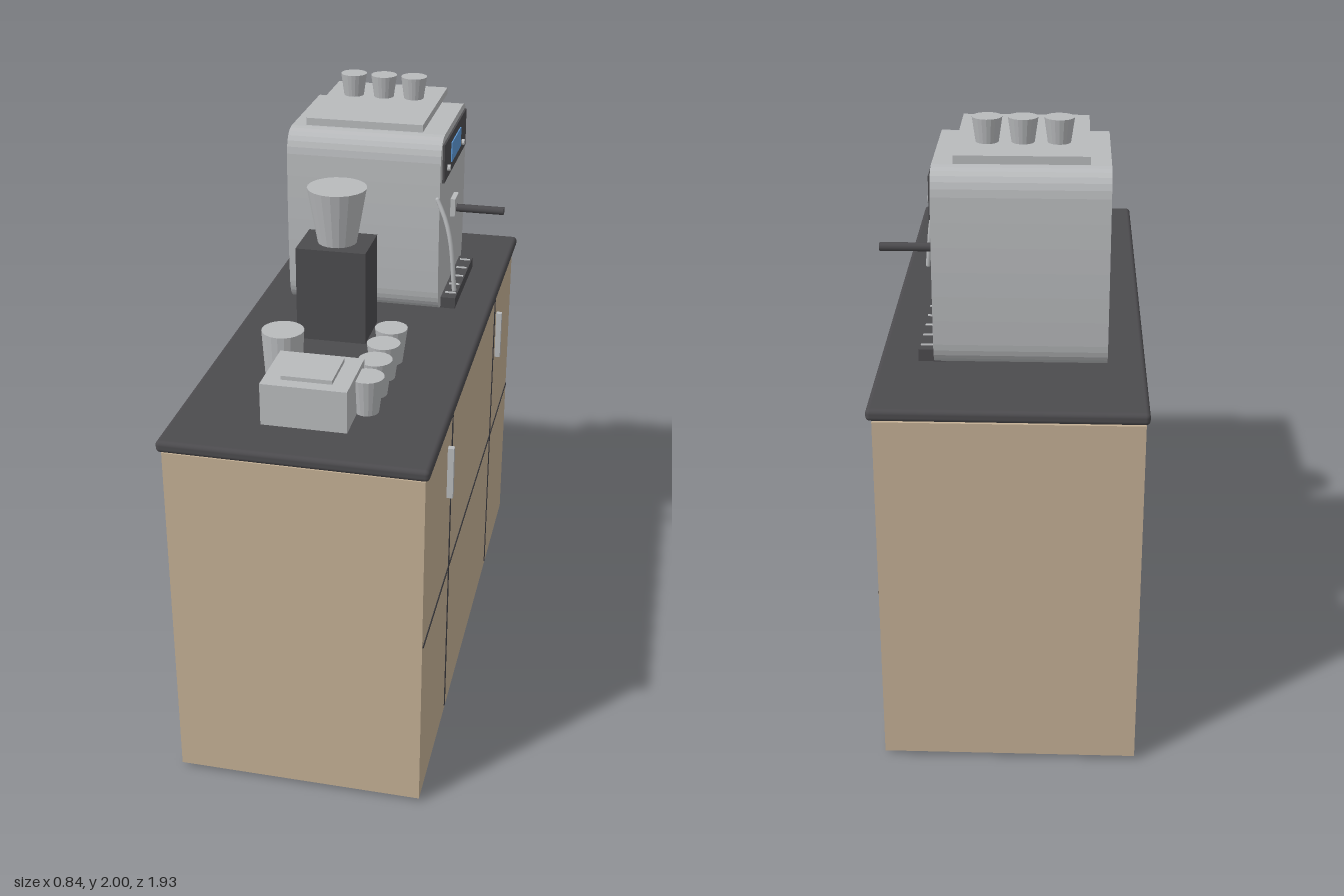
import * as THREE from 'three';
import { RoundedBoxGeometry } from 'three/addons/geometries/RoundedBoxGeometry.js';

function paint(name, hex) {
  const m = new THREE.MeshStandardMaterial({ color: hex });
  m.name = name;
  return m;
}

export function createModel() {
  const model = new THREE.Group();
  model.name = 'coffeeStation';
  const wood = paint('wood', 0xc3af94);
  const metal = paint('brushedMetal', 0xb8babc);
  const dark = paint('darkGrey', 0x4c4b4e);
  const black = paint('seamBlack', 0x36363a);
  const blue = paint('screenBlue', 0x5b96d2);

  function add(name, geometry, material, x = 0, y = 0, z = 0) {
    const mesh = new THREE.Mesh(geometry, material);
    mesh.name = name;
    mesh.position.set(x, y, z);
    model.add(mesh);
    return mesh;
  }
  // Box given by its extents on each axis
  function box(name, material, [x0, x1], [y0, y1], [z0, z1]) {
    return add(name, new THREE.BoxGeometry(x1 - x0, y1 - y0, z1 - z0), material,
      (x0 + x1) / 2, (y0 + y1) / 2, (z0 + z1) / 2);
  }
  // Faceted tapered vessel standing on y0
  function vessel(name, x, z, y0, y1, rBottom, rTop, sides = 20) {
    const g = new THREE.CylinderGeometry(rTop, rBottom, y1 - y0, sides).toNonIndexed();
    g.computeVertexNormals();
    return add(name, g, metal, x, (y0 + y1) / 2, z);
  }

  // Cabinet and worktop
  box('plinth', dark, [-0.39, 0.37], [0, 0.015], [-0.915, 0.915]);
  box('cabinet', wood, [-0.412, 0.393], [0.015, 1.2], [-0.94, 0.94]);
  box('worktopSupport', dark, [-0.36, 0.34], [1.2, 1.215], [-0.88, 0.88]);
  add('worktop', new RoundedBoxGeometry(0.83, 0.038, 1.93, 3, 0.014), dark, -0.007, 1.231, 0);

  // Door seams and handles on the front side
  box('horizontalSeam', black, [0.39, 0.396], [0.606, 0.613], [-0.93, 0.93]);
  for (const s of [-1, 1]) {
    const seamZ = s * 0.47;
    box('verticalSeam', black, [0.39, 0.396], [0.03, 1.18], [seamZ - 0.004, seamZ + 0.004]);
    const handleZ = s * 0.538;
    box('doorHandle', metal, [0.393, 0.413], [0.92, 1.1], [handleZ - 0.01, handleZ + 0.01]);
  }

  // Coffee machine body: rounded profile extruded across x (shape x = -z)
  const p = new THREE.Shape();
  p.moveTo(0.19, 1.257);
  p.lineTo(0.61, 1.257);
  p.quadraticCurveTo(0.655, 1.262, 0.66, 1.33);
  p.quadraticCurveTo(0.675, 1.57, 0.662, 1.80);
  p.quadraticCurveTo(0.655, 1.878, 0.59, 1.88);
  p.lineTo(0.21, 1.88);
  p.quadraticCurveTo(0.145, 1.878, 0.138, 1.80);
  p.quadraticCurveTo(0.128, 1.57, 0.14, 1.33);
  p.quadraticCurveTo(0.145, 1.262, 0.19, 1.257);
  const body = new THREE.ExtrudeGeometry(p, { depth: 0.535, bevelEnabled: false, curveSegments: 6 });
  body.rotateY(Math.PI / 2);
  add('machineBody', body, metal, -0.302, 0, 0);
  box('machineFoot', dark, [-0.27, 0.2], [1.249, 1.258], [-0.6, -0.2]);

  // Control panel, screen and buttons
  box('controlPanel', dark, [0.23, 0.24], [1.72, 1.855], [-0.628, -0.175]);
  box('screen', blue, [0.236, 0.244], [1.755, 1.825], [-0.495, -0.305]);
  for (const z of [-0.24, -0.54]) {
    const button = vessel('button', 0.244, z, 1.75, 1.762, 0.011, 0.011, 12);
    button.rotation.z = -Math.PI / 2;
  }

  // Brew head with filter handle
  box('brewHead', metal, [0.23, 0.25], [1.535, 1.6], [-0.44, -0.362]);
  const grip = add('filterHandle', new THREE.CylinderGeometry(0.014, 0.014, 0.18, 10), dark, 0.33, 1.555, -0.403);
  grip.rotation.z = Math.PI / 2;

  // Steam wand
  const wandPath = new THREE.CatmullRomCurve3([
    [0.23, 1.685, -0.108], [0.262, 1.62, -0.092], [0.284, 1.54, -0.079], [0.3, 1.375, -0.077],
  ].map(a => new THREE.Vector3(...a)));
  add('steamWand', new THREE.TubeGeometry(wandPath, 10, 0.008, 8), metal);
  for (const t of [0, 1]) add('wandTip', new THREE.SphereGeometry(0.008, 8, 6), metal, ...wandPath.getPoint(t).toArray());

  // Drip tray with slats
  box('dripTray', dark, [0.2, 0.285], [1.25, 1.29], [-0.605, -0.2]);
  for (let i = 0; i < 5; i++) {
    const z = -0.57 + i * 0.081;
    box('dripSlat', metal, [0.242, 0.28], [1.289, 1.293], [z - 0.005, z + 0.005]);
  }

  // Cup warmer shelf and cups on top
  box('warmerShelf', metal, [-0.238, 0.165], [1.898, 1.923], [-0.645, -0.163]);
  for (const x of [-0.18, 0.11]) for (const z of [-0.55, -0.25]) {
    box('shelfPost', metal, [x - 0.006, x + 0.006], [1.87, 1.9], [z - 0.006, z + 0.006]);
  }
  for (const x of [-0.145, -0.036, 0.072]) vessel('espressoCup', x, -0.485, 1.923, 2, 0.035, 0.046);

  // Grinder
  box('grinderBase', dark, [-0.197, 0.04], [1.25, 1.575], [-0.025, 0.16]);
  vessel('grinderHopper', -0.077, 0.064, 1.575, 1.765, 0.066, 0.1);

  // Cups, canister and storage box on the worktop
  for (let i = 0; i < 4; i++) vessel('cup', 0.151, 0.267 + i * 0.122, 1.25, 1.37, 0.038, 0.054);
  vessel('canister', -0.17, 0.43, 1.25, 1.403, 0.06, 0.069);
  box('storageBox', metal, [-0.145, 0.125], [1.25, 1.387], [0.55, 0.79]);
  box('storageLid', metal, [-0.09, 0.07], [1.387, 1.4], [0.59, 0.748]);

  return model;
}
